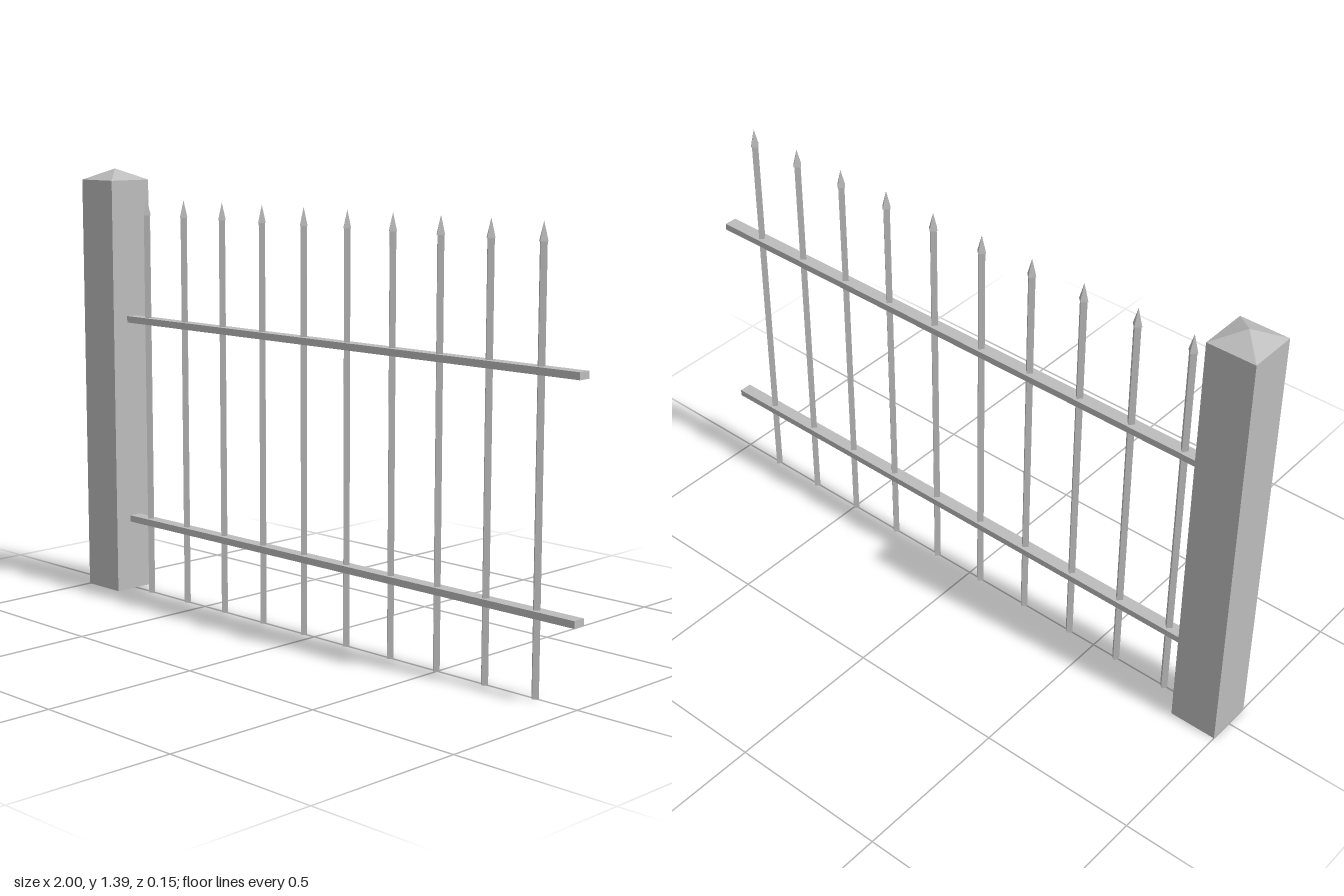
import * as THREE from 'three';

export function createModel() {
  const group = new THREE.Group();
  group.name = 'fencePanel';
  const grey = new THREE.MeshStandardMaterial({ color: 0xbcbcbc });
  grey.name = 'grey';

  const add = (name, geometry, x, y, parent = group) => {
    // un-index so that every facet keeps its own flat normal
    const flat = geometry.index ? geometry.toNonIndexed() : geometry;
    flat.computeVertexNormals();
    const mesh = new THREE.Mesh(flat, grey);
    mesh.name = name;
    mesh.position.set(x, y, 0);
    parent.add(mesh);
    return mesh;
  };

  // Square post with a low pyramid cap
  const postX = -0.924, postW = 0.152, postH = 1.355, capH = 0.036;
  add('post', new THREE.BoxGeometry(postW, postH, postW), postX, postH / 2);
  const cap = new THREE.ConeGeometry(postW / Math.SQRT2, capH, 4, 1, true).rotateY(Math.PI / 4);
  add('postCap', cap, postX, postH + capH / 2);

  // Two horizontal rails running from the post to the open end
  const railStart = postX + postW / 2, railLength = 1 - railStart;
  for (const [name, y] of [['lowerRail', 0.239], ['upperRail', 0.904]]) {
    add(name, new THREE.BoxGeometry(railLength, 0.021, 0.041), railStart + railLength / 2, y);
  }

  // Ten diamond-section pickets with spear points
  const shaftH = 1.245, tipH = 0.055;
  for (let i = 0; i < 10; i++) {
    const picket = new THREE.Group();
    picket.name = `picket${i + 1}`;
    picket.position.x = -0.765 + i * 0.1802;
    group.add(picket);
    add('shaft', new THREE.CylinderGeometry(0.013, 0.013, shaftH, 4), 0, shaftH / 2, picket);
    add('spearPoint', new THREE.ConeGeometry(0.016, tipH, 4), 0, shaftH + tipH / 2, picket);
  }

  return group;
}
